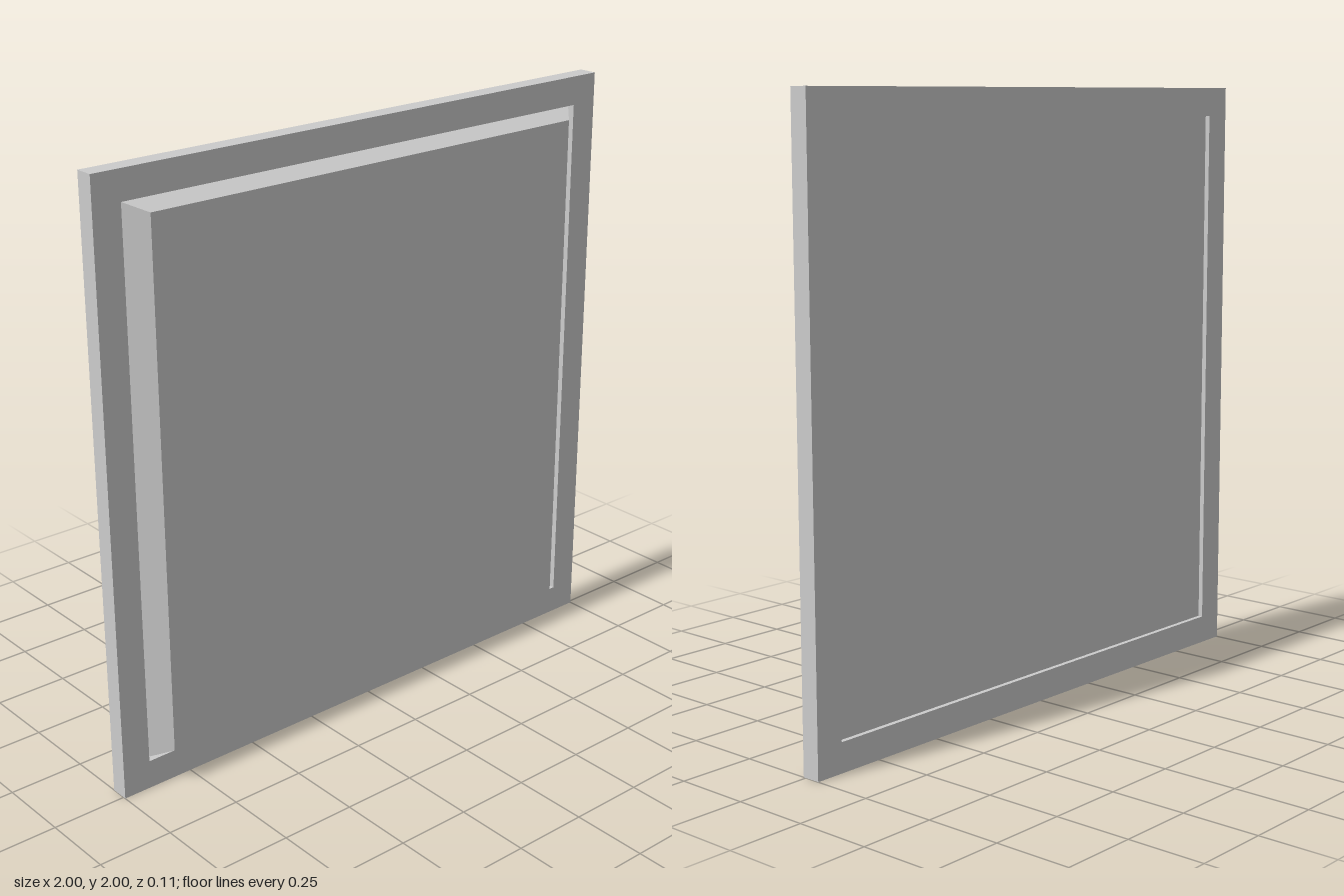
import * as THREE from 'three';

// Rectangle outline centred on the origin, counter-clockwise
function rectangle(PathType, halfW, halfH) {
  return new PathType([
    new THREE.Vector2(-halfW, -halfH),
    new THREE.Vector2(halfW, -halfH),
    new THREE.Vector2(halfW, halfH),
    new THREE.Vector2(-halfW, halfH),
  ]);
}

export function createModel() {
  const group = new THREE.Group();
  const material = new THREE.MeshStandardMaterial({ color: 0xcccccc, flatShading: true });

  const opening = 0.904;
  const frameBack = -0.053, frameDepth = 0.062;
  const panelBack = -0.037, bevelStart = -0.018, panelFront = 0.053;

  // Flat square frame with a square opening
  const frameShape = rectangle(THREE.Shape, 1, 1);
  frameShape.holes.push(rectangle(THREE.Path, opening, opening));
  const frame = new THREE.Mesh(
    new THREE.ExtrudeGeometry(frameShape, { depth: frameDepth, bevelEnabled: false }), material);
  frame.name = 'frame';
  frame.position.set(0, 1, frameBack);
  group.add(frame);

  // Backing slab filling the opening, set in from the back of the frame
  const slabDepth = bevelStart - panelBack;
  const slab = new THREE.Mesh(
    new THREE.BoxGeometry(opening * 2, opening * 2, slabDepth), material);
  slab.name = 'panelBacking';
  slab.position.set(0, 1, panelBack + slabDepth / 2);
  group.add(slab);

  // Raised panel: a box whose front face is drawn in to slope the four sides
  const raisedDepth = panelFront - bevelStart;
  const raised = new THREE.BoxGeometry(opening * 2, opening * 2, raisedDepth);
  const p = raised.attributes.position;
  for (let i = 0; i < p.count; i++) {
    if (p.getZ(i) > 0) {
      p.setX(i, Math.sign(p.getX(i)) * 0.837);
      p.setY(i, Math.sign(p.getY(i)) * 0.871);
    }
  }
  raised.computeVertexNormals();
  const panel = new THREE.Mesh(raised, material);
  panel.name = 'raisedPanel';
  panel.position.set(0, 1, bevelStart + raisedDepth / 2);
  group.add(panel);

  return group;
}
